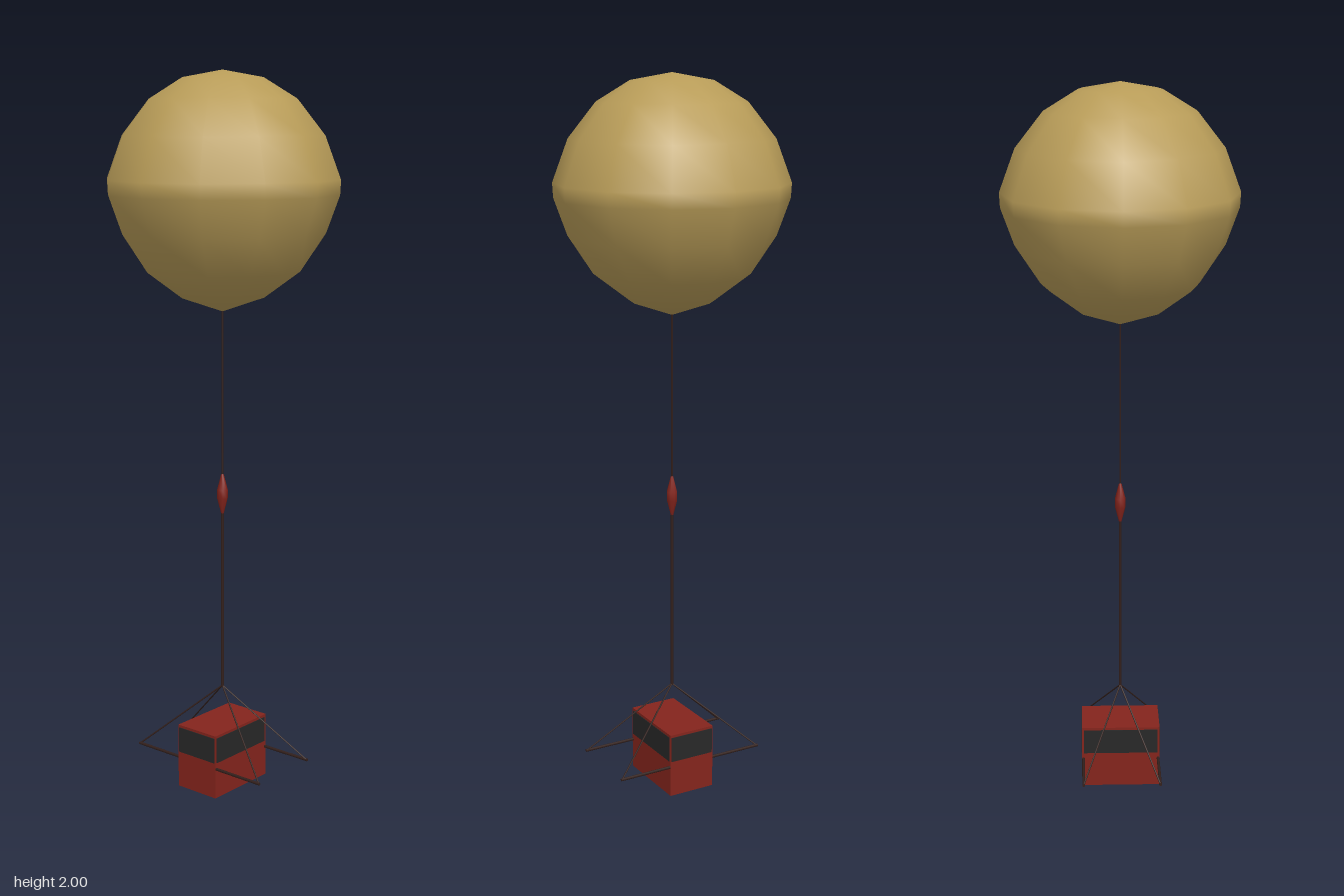
import * as THREE from 'three';

const tan = new THREE.MeshStandardMaterial({ color: 0xb89c58 });
const red = new THREE.MeshStandardMaterial({ color: 0x84241c });
const dark = new THREE.MeshStandardMaterial({ color: 0x282828 });
const cord = new THREE.MeshStandardMaterial({ color: 0x33201c });

export function createModel() {
  const model = new THREE.Group();

  const add = (name, geometry, material) => {
    const mesh = new THREE.Mesh(geometry, material);
    mesh.name = name;
    model.add(mesh);
    return mesh;
  };
  const lathe = (points, sides) =>
    new THREE.LatheGeometry(points.map(([r, y]) => new THREE.Vector2(r, y)), sides);
  const box = (name, w, h, d, y, material) =>
    add(name, new THREE.BoxGeometry(w, h, d), material).position.set(0, y, 0);

  // Straight rod or rope between two points
  const rod = (name, a, b, radius, material) => {
    const from = new THREE.Vector3(...a), to = new THREE.Vector3(...b);
    const dir = to.clone().sub(from);
    const mesh = add(name, new THREE.CylinderGeometry(radius, radius, dir.length(), 6), material);
    mesh.position.copy(from).add(to).multiplyScalar(0.5);
    mesh.quaternion.setFromUnitVectors(new THREE.Vector3(0, 1, 0), dir.normalize());
  };

  // Twelve-sided balloon tapering to a neck
  add('balloon', lathe([
    [0, 1.36], [0.115, 1.4], [0.212, 1.472], [0.28, 1.575], [0.316, 1.675], [0.318, 1.715],
    [0.275, 1.83], [0.2, 1.925], [0.11, 1.98], [0, 2],
  ], 12), tan);

  // Tether with the folded parachute halfway down
  rod('upperTether', [0, 0.9, 0], [0, 1.365, 0], 0.0025, cord);
  rod('lowerTether', [0, 0.285, 0], [0, 0.8, 0], 0.004, cord);
  add('foldedParachute', lathe([
    [0, 0.79], [0.004, 0.795], [0.015, 0.838], [0.015, 0.862], [0.004, 0.905], [0, 0.91],
  ], 8), red);

  // Instrument box with a dark panel on each side
  box('instrumentBox', 0.138, 0.185, 0.224, 0.0925, red);
  box('sidePanels', 0.141, 0.073, 0.212, 0.141, dark);
  box('endPanels', 0.132, 0.073, 0.227, 0.141, dark);

  // Crossbars through the box, hung by four ropes
  for (const z of [-0.108, 0.108]) {
    rod('crossbar', [-0.225, 0.087, z], [0.225, 0.087, z], 0.004, cord);
    for (const x of [-0.222, 0.222])
      rod('suspensionRope', [0, 0.288, 0], [x, 0.087, z], 0.0022, cord);
  }
  return model;
}
